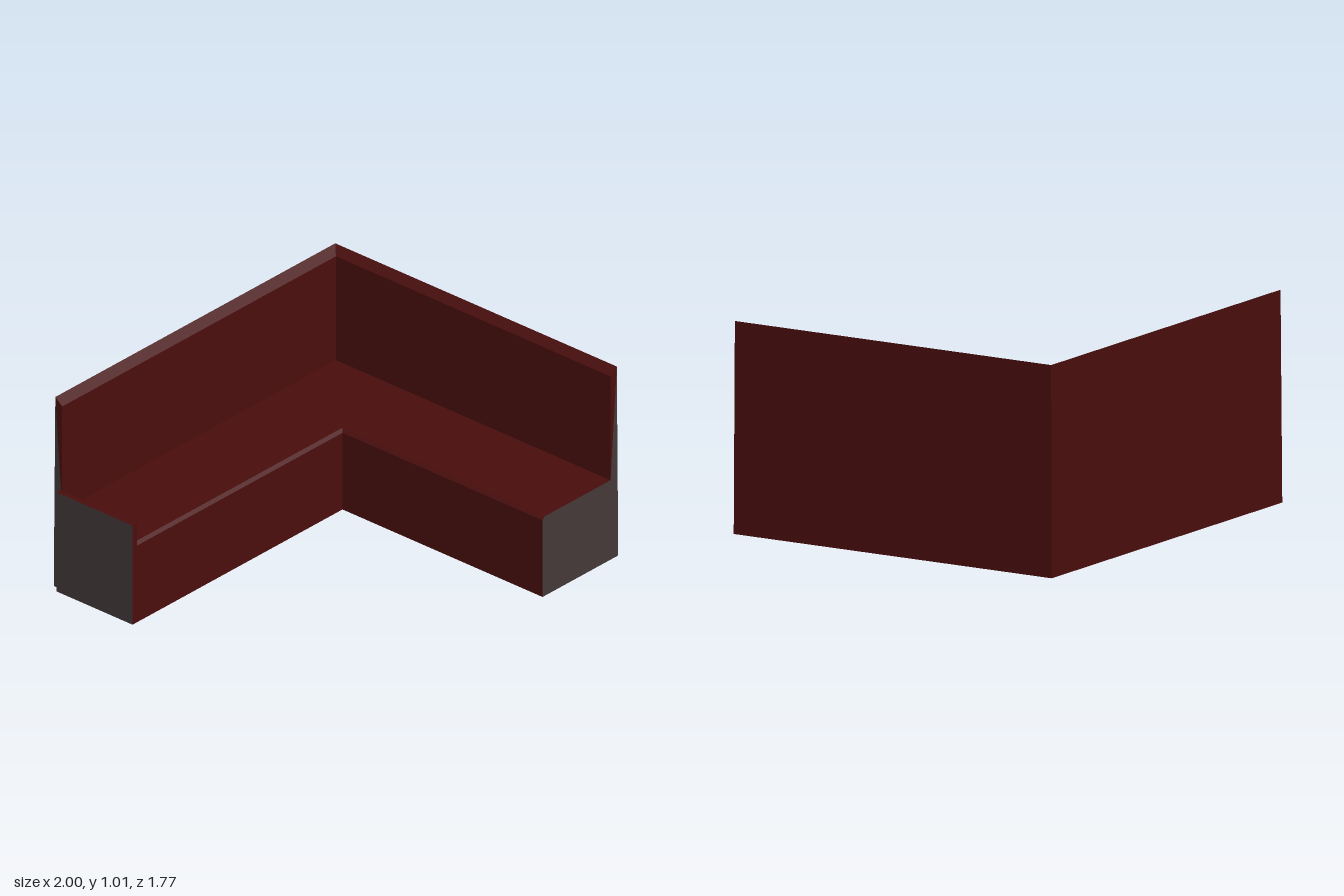
import * as THREE from 'three';

// Cross-section of the bench: [distance in from the outer wall, height]
const PROFILE = [
  [0, 0], [0.01, 1.015], [0.054, 0.98], [0.054, 0.425],
  [0.515, 0.425], [0.53, 0.41], [0.53, 0],
];

// Stations along the L: open left end, mitred corner, open front end
const STATIONS = [
  ([d, y]) => new THREE.Vector3(-0.97, y, -0.885 + d * 0.98),
  ([d, y]) => new THREE.Vector3(1 - d, y, -0.885 + d * 0.98),
  ([d, y]) => new THREE.Vector3(1 - d, y, 0.885),
];

function triangles(points) {
  const geometry = new THREE.BufferGeometry().setFromPoints(points);
  geometry.computeVertexNormals();
  return geometry;
}

// Upholstered skin swept along the L
function sweep() {
  const out = [];
  for (let s = 0; s < STATIONS.length - 1; s++) {
    PROFILE.forEach((p, i) => {
      const q = PROFILE[(i + 1) % PROFILE.length];
      const a = STATIONS[s](p), b = STATIONS[s](q);
      const c = STATIONS[s + 1](q), d = STATIONS[s + 1](p);
      out.push(a, b, c, a, c, d);
    });
  }
  return triangles(out);
}

// End cap made from triples of profile points
function cap(station, faces, flip) {
  const out = [];
  for (const f of faces) {
    const order = flip ? [f[0], f[2], f[1]] : f;
    order.forEach((i) => out.push(STATIONS[station](PROFILE[i])));
  }
  return triangles(out);
}

export function createModel() {
  const group = new THREE.Group();
  group.name = 'cornerBench';
  const upholstery = new THREE.MeshStandardMaterial({ color: 0x4a0d0d });
  upholstery.name = 'dark red upholstery';
  const endGrey = new THREE.MeshStandardMaterial({ color: 0x453939 });
  endGrey.name = 'dark grey end';

  const add = (name, geometry, material) => {
    const mesh = new THREE.Mesh(geometry, material);
    mesh.name = name;
    group.add(mesh);
    return mesh;
  };

  add('seatAndBackrest', sweep(), upholstery);

  // Caps: grey seat and backrest core, red padding wedge
  const core = [[3, 4, 5], [3, 5, 6], [3, 6, 0], [3, 0, 1]];
  const padding = [[1, 2, 3]];
  [['left', 2, false], ['right', 0, true]].forEach(([side, station, flip]) => {
    add(side + 'EndCap', cap(station, core, flip), endGrey);
    add(side + 'PaddingEnd', cap(station, padding, flip), upholstery);
  });

  // Low arm panel with a grey outer face
  const arm = add('armPanel', new THREE.BoxGeometry(0.03, 0.53, 0.475),
    [upholstery, endGrey, upholstery, upholstery, upholstery, upholstery]);
  arm.position.set(-0.985, 0.265, -0.603);

  return group;
}
